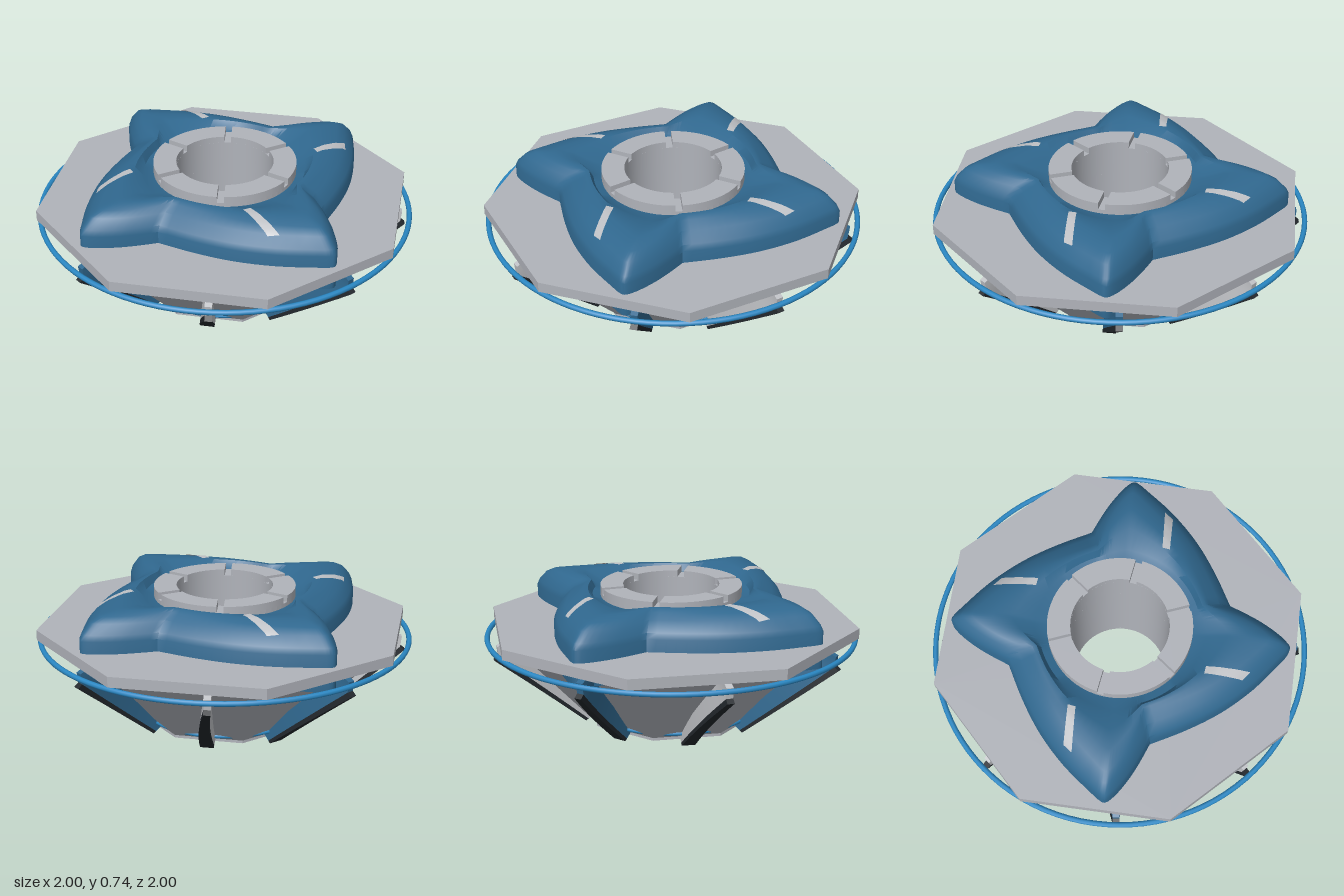
import * as THREE from 'three';
import { toCreasedNormals } from 'three/addons/utils/BufferGeometryUtils.js';

const mat = (name, color, side = THREE.FrontSide) => {
  const m = new THREE.MeshStandardMaterial({ color, side });
  m.name = name;
  return m;
};

// Polar helper: angle 0 points to the back (-z) and turns towards +x
const polar = (a, r, y) => [Math.sin(a) * r, y, -Math.cos(a) * r];
const rad = THREE.MathUtils.degToRad;

// Skin a grid of point rows; closed joins the last column to the first
function skin(rows, closed, crease) {
  const n = rows[0].length, idx = [];
  for (let i = 0; i < rows.length - 1; i++)
    for (let j = 0; j < (closed ? n : n - 1); j++) {
      const k = (j + 1) % n, a = i * n + j, b = a + n, c = i * n + k, d = c + n;
      idx.push(a, b, c, c, b, d);
    }
  const g = new THREE.BufferGeometry();
  g.setAttribute('position', new THREE.Float32BufferAttribute(rows.flat(2), 3));
  g.setIndex(idx);
  return toCreasedNormals(g, crease);
}

// Horizontal slab from a shape, bottom at y
function slab(shape, y, depth) {
  const g = new THREE.ExtrudeGeometry(shape, { depth, bevelEnabled: false, curveSegments: 32 });
  return g.rotateX(-Math.PI / 2).translate(0, y, 0);
}

function octagon(r, hole) {
  const pts = [];
  for (let i = 0; i < 8; i++) pts.push(new THREE.Vector2(r * Math.cos(i * Math.PI / 4), r * Math.sin(i * Math.PI / 4)));
  const s = new THREE.Shape(pts);
  s.holes.push(new THREE.Path().absarc(0, 0, hole, 0, Math.PI * 2, true));
  return s;
}

// One quarter of the swirling star outline, as [angle, radius]
const arc = (pts, n) => new THREE.CatmullRomCurve3(pts.map(([x, z]) => new THREE.Vector3(x, 0, z))).getPoints(n);
const quarter = [
  ...arc([[0, -0.6], [0.07, -0.675], [0.15, -0.75], [0.25, -0.82], [0.3, -0.835], [0.33, -0.805]], 14).slice(0, -1),
  ...arc([[0.33, -0.805], [0.45, -0.6], [0.53, -0.4], [0.575, -0.2], [0.6, 0]], 16),
].map(p => [Math.atan2(p.x, -p.z), Math.hypot(p.x, p.z)]);

// Cross-section of the star body for an outline radius R, from the underside to the hub
function section(R) {
  const span = R - 0.12 - 0.41;
  return [[0.36, 0.42], [R, 0.42], [R, 0.61], [R - 0.015, 0.64], [R - 0.065, 0.69], [R - 0.12, 0.715],
    [0.41 + span * 0.7, 0.73], [0.41 + span * 0.4, 0.73], [0.41 + span * 0.1, 0.69], [0.36, 0.675]];
}

// Height of the star's top at a point
function heightAt(x, z) {
  const q = Math.PI / 2, a = ((Math.atan2(x, -z) % q) + q) % q, r = Math.hypot(x, z);
  const i = Math.max(1, quarter.findIndex(p => p[0] >= a));
  const [a0, r0] = quarter[i - 1], [a1, r1] = quarter[i];
  const s = section(r0 + (r1 - r0) * (a - a0) / (a1 - a0));
  for (let k = 2; k < s.length - 1; k++)
    if (r <= s[k][0] && r >= s[k + 1][0])
      return s[k][1] + (s[k + 1][1] - s[k][1]) * (s[k][0] - r) / (s[k][0] - s[k + 1][0] || 1);
  return 0.73;
}

// Twisting rib; f0..f1 picks a layer of its depth (0 outside, 1 against the hull)
function ribLayer(topDeg, bottomDeg, f0, f1) {
  const rows = [], N = 8, mix = THREE.MathUtils.lerp;
  const add = (s, outer, inner) => {
    const a = rad(mix(bottomDeg, topDeg, s)), w = mix(0.036, 0.018, s);
    const at = (f, side) => {
      const r = mix(outer[0], inner[0], f), p = polar(a, r, mix(outer[1], inner[1], f));
      return [p[0] + side * w * Math.cos(a), p[1], p[2] + side * w * Math.sin(a)];
    };
    rows.push([at(f0, -1), at(f0, 1), at(f1, 1), at(f1, -1)]);
  };
  for (let k = 0; k <= N; k++) {
    const s = k / N;
    add(s, [mix(0.475, 0.96, s), mix(0, 0.4, s)], [mix(0.41, 0.85, s), mix(0.045, 0.48, s)]);
  }
  if (f1 === 1) add(1, [0.96, 0.465], [0.88, 0.5]);
  const centre = row => row.map(() => [0, 1, 2].map(c => row.reduce((t, p) => t + p[c], 0) / 4));
  return skin([centre(rows[0]), ...rows, centre(rows[rows.length - 1])], true, 0.5);
}

export function createModel() {
  const group = new THREE.Group();
  const grey = mat('grey metal', 0xb0b3ba, THREE.DoubleSide);
  const blue = mat('deep blue', 0x30688f);
  const bright = mat('bright blue', 0x2a88c4);
  const dark = mat('charcoal', 0x22272c);
  const silver = mat('silver', 0xbfc1c5, THREE.DoubleSide);
  const add = (name, geo, material, parent = group) => {
    const m = new THREE.Mesh(geo, material);
    m.name = name;
    parent.add(m);
    return m;
  };

  // Octagonal deck, tapered hull and base
  add('deck', slab(octagon(1, 0.255), 0.49, 0.055), grey);
  const hull = new THREE.CylinderGeometry(0.89, 0.465, 0.46, 8, 1, true).translate(0, 0.265, 0);
  add('hull', toCreasedNormals(hull, 0.3), grey);
  add('base', slab(octagon(0.465, 0.255), 0.02, 0.02), grey);

  // Hub: bore, collar and six blocks parted by slots
  add('bore', new THREE.CylinderGeometry(0.255, 0.255, 0.68, 48, 1, true).translate(0, 0.36, 0), grey);
  const collar = new THREE.Shape().absarc(0, 0, 0.375, 0, Math.PI * 2);
  collar.holes.push(new THREE.Path().absarc(0, 0, 0.255, 0, Math.PI * 2, true));
  add('collar', slab(collar, 0.6, 0.1), grey);
  const outerGap = Math.asin(0.018 / 0.375), innerGap = Math.asin(0.018 / 0.255);
  for (let i = 0; i < 6; i++) {
    const a = i * Math.PI / 3, b = a + Math.PI / 3;
    const block = new THREE.Shape();
    block.absarc(0, 0, 0.375, a + outerGap, b - outerGap, false);
    block.absarc(0, 0, 0.255, b - innerGap, a + innerGap, true);
    add('collarBlock', slab(block, 0.7, 0.035), grey);
  }

  // Four-pointed star body
  const outline = [];
  for (let q = 0; q < 4; q++)
    for (const [a, r] of quarter.slice(0, -1)) outline.push([a + q * Math.PI / 2, r]);
  const rows = section(1).map((_, k) => outline.map(([a, R]) => polar(a, ...section(R)[k])));
  add('starBody', skin(rows, true, 0.7), blue);

  // Stripes laid on the star's top
  const corners = [[[0.4, -0.58], [0.43, -0.53]], [[0.325, -0.365], [0.36, -0.345]]];
  const stripeRows = [];
  for (let i = 0; i <= 10; i++) {
    const row = [];
    for (let j = 0; j <= 4; j++) {
      const [x, z] = [0, 1].map(c => {
        const p = corners.map(e => e[0][c] + (e[1][c] - e[0][c]) * j / 4);
        return p[0] + (p[1] - p[0]) * i / 10;
      });
      row.push([x, heightAt(x, z) + 0.004, z]);
    }
    stripeRows.push(row);
  }
  const stripe = skin(stripeRows, false, 0.7);

  // Ribs in blue and silver pairs with charcoal soles, repeated on four sides
  const ribs = [['blueRib', 15.8, blue], ['silverRib', 61.3, silver]].map(([name, top, m], i) => {
    const bottom = i ? 67.5 : 22.5;
    return [name, ribLayer(top, bottom, 0.22, 1), ribLayer(top, bottom, 0, 0.22), m];
  });
  for (let q = 0; q < 4; q++) {
    const side = new THREE.Group();
    side.name = 'side' + (q + 1);
    side.rotation.y = q * Math.PI / 2;
    add('stripe', stripe, silver, side);
    for (const [name, body, sole, m] of ribs) {
      add(name, body, m, side);
      add('ribSole', sole, dark, side);
    }
    group.add(side);
  }

  // Tubular hoops
  const hoop = (name, r, tube, y) =>
    add(name, new THREE.TorusGeometry(r, tube, 8, 96).rotateX(Math.PI / 2).translate(0, y, 0), bright);
  hoop('upperHoop', 0.98, 0.014, 0.47);
  hoop('lowerHoop', 0.452, 0.012, 0.058);

  return group;
}
